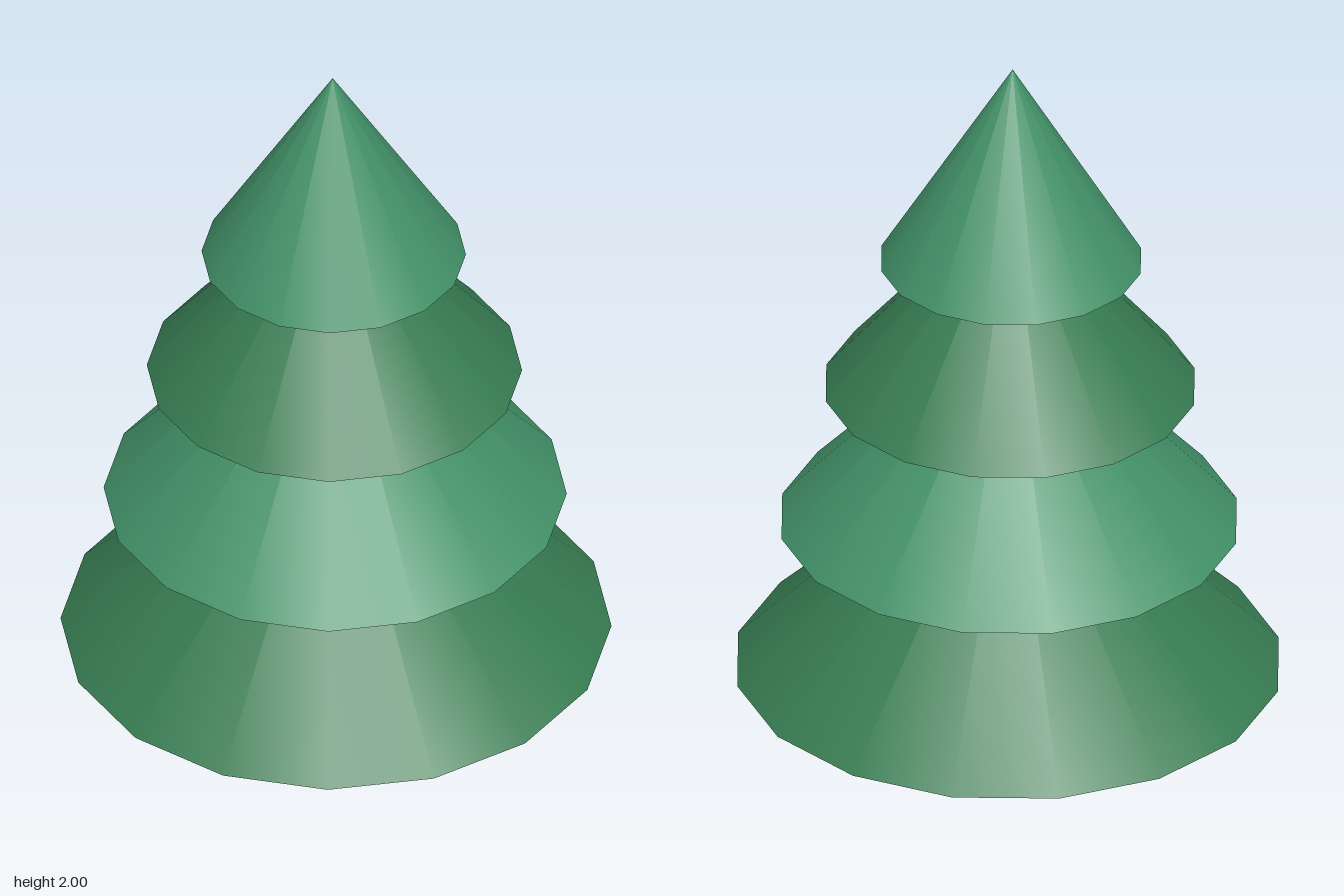
import * as THREE from 'three';

export function createModel() {
  const model = new THREE.Group();
  model.name = 'pineTree';

  const bark = new THREE.MeshStandardMaterial({ color: 0x7a5234 });
  const darkGreen = new THREE.MeshStandardMaterial({ color: 0x377c52 });
  const lightGreen = new THREE.MeshStandardMaterial({ color: 0x429168 });

  // Tapered trunk, its top hidden inside the lowest tier
  const trunkHeight = 0.32;
  const trunk = new THREE.Mesh(new THREE.CylinderGeometry(0.107, 0.137, trunkHeight, 12), bark);
  trunk.name = 'trunk';
  trunk.position.y = trunkHeight / 2;
  model.add(trunk);

  // Foliage leans very slightly forward about its lowest rim
  const foliage = new THREE.Group();
  foliage.name = 'foliage';
  foliage.position.y = 0.283;
  foliage.rotation.x = 0.012;
  model.add(foliage);

  // Stacked cones: rim radius, height, rim level above the lowest rim
  const tiers = [
    [0.69, 0.69, 0],
    [0.58, 0.634, 0.415],
    [0.47, 0.564, 0.803],
    [0.331, 0.551, 1.166],
  ];
  tiers.forEach(([radius, height, level], i) => {
    const tier = new THREE.Mesh(
      new THREE.ConeGeometry(radius, height, 16),
      i % 2 ? lightGreen : darkGreen
    );
    tier.name = `foliageTier${i + 1}`;
    tier.position.y = level + height / 2;
    foliage.add(tier);
  });

  return model;
}
